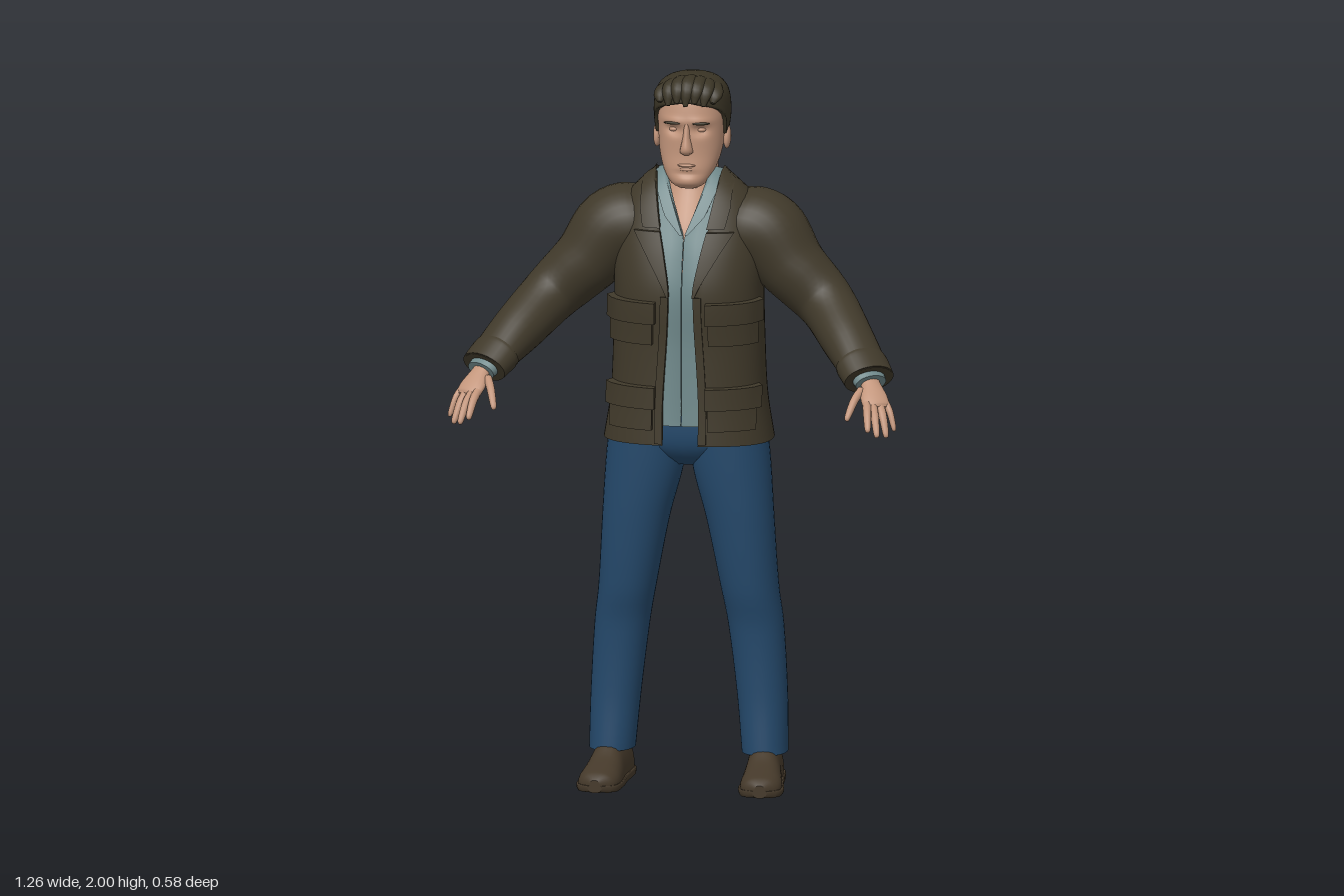
import * as THREE from 'three';

const material = (name, color, side = THREE.FrontSide) =>
  Object.assign(new THREE.MeshStandardMaterial({ color, side }), { name });
const span = (a, b, n) => Array.from({ length: n + 1 }, (_, i) => a + (b - a) * i / n);
const circle = n => span(0, 2 * Math.PI, n).slice(0, n);
const pw = (v, e) => Math.sign(v) * Math.abs(v) ** e;

// Smooth lookup in a table whose first column is the key
function at(rows, key) {
  const n = rows.length, k = Math.min(Math.max(key, rows[0][0]), rows[n - 1][0]);
  let i = 0;
  while (i < n - 2 && k > rows[i + 1][0]) i++;
  const h = rows[i + 1][0] - rows[i][0], t = (k - rows[i][0]) / h, s = t * t * (3 - 2 * t);
  const slope = (j, c) => {
    const a = rows[Math.max(j - 1, 0)], b = rows[Math.min(j + 1, n - 1)];
    return (b[c] - a[c]) / (b[0] - a[0]);
  };
  return rows[0].map((_, c) => rows[i][c] + (rows[i + 1][c] - rows[i][c]) * s
    + h * (t * (1 - t) ** 2 * slope(i, c) - t * t * (1 - t) * slope(i + 1, c)));
}

// Skin over a list of rings; closed rings also get end caps and outward faces
function loft(rings, closed = true) {
  const pos = [], idx = [], n = rings[0].length;
  const put = p => pos.push(p.x, p.y, p.z);
  rings.forEach(r => r.forEach(put));
  for (let j = 0; j < rings.length - 1; j++)
    for (let i = 0; i < (closed ? n : n - 1); i++) {
      const a = j * n + i, b = j * n + (i + 1) % n;
      idx.push(a, b, a + n, b, b + n, a + n);
    }
  if (closed) [rings[0], rings[rings.length - 1]].forEach((r, e) => {
    const s = pos.length / 3, c = new THREE.Vector3();
    r.forEach(p => { put(p); c.addScaledVector(p, 1 / n); });
    put(c);
    for (let i = 0; i < n; i++) {
      const a = s + i, b = s + (i + 1) % n;
      e ? idx.push(a, b, s + n) : idx.push(b, a, s + n);
    }
  });
  const v = i => new THREE.Vector3().fromArray(pos, 3 * i);
  let volume = 0;
  for (let i = 0; i < idx.length; i += 3) volume += v(idx[i]).dot(v(idx[i + 1]).cross(v(idx[i + 2])));
  if (volume < 0) idx.reverse();
  const g = new THREE.BufferGeometry();
  g.setAttribute('position', new THREE.Float32BufferAttribute(pos, 3));
  g.setIndex(idx);
  g.computeVertexNormals();
  return g;
}

// Point on a rounded level section; angle 0 is the front
function level(y, rx, f, b, th, p = 2.2, cx = 0, tilt = 0) {
  const dz = (f - b) / 2 * pw(Math.cos(th), 2 / p);
  return new THREE.Vector3(cx + rx * pw(Math.sin(th), 2 / p), y + tilt * dz, (f + b) / 2 + dz);
}

// Upright closed form from rows [y, rx, front z, back z, centre x]
function upright(rows, steps = 20, p = 2.2, n = 36) {
  return loft(span(rows[0][0], rows[rows.length - 1][0], steps).map(y => {
    const [, rx, f, b, cx] = at(rows, y);
    return circle(n).map(th => level(y, rx, f, b, th, p, cx));
  }));
}

// Limb swept through rows [x, y, z, half width, half thickness]
function limb(rows, steps = 16, n = 18) {
  const keyed = rows.map((r, i) => [i, ...r]);
  return loft(span(0, rows.length - 1, steps).map(k => {
    const [, x, y, z, a, b] = at(keyed, k), p = at(keyed, k - 0.05), q = at(keyed, k + 0.05);
    const t = new THREE.Vector3(q[1] - p[1], q[2] - p[2], q[3] - p[3]).normalize();
    const u = new THREE.Vector3(t.z, 0, -t.x).normalize(), w = t.clone().cross(u);
    return circle(n).map(th => new THREE.Vector3(x, y, z)
      .addScaledVector(u, a * Math.cos(th)).addScaledVector(w, b * Math.sin(th)));
  }));
}

// Torso rows [y, rx, front z, back z, tilt]; opening rows [y, half width]
const P = 2.5;
const TORSO = [[.975, .236, .068, -.282, .03], [1.1, .217, .06, -.275, 0], [1.25, .21, .055, -.27, 0],
  [1.4, .207, .058, -.275, 0], [1.5, .21, .035, -.275, 0], [1.6, .2, -.005, -.265, 0],
  [1.66, .172, -.035, -.25, .1], [1.7, .132, -.06, -.235, .25], [1.73, .098, -.085, -.225, .35]];
const OPENING = [[.97, .05], [1.1, .05], [1.4, .035], [1.5, .05], [1.6, .072], [1.7, .09], [1.73, .095]];
const open = y => at(OPENING, y)[1];
const vee = y => .001 + .4 * Math.max(0, y - 1.56);

// Garment shell open down the front, with folded-in front edges
function garment(y0, y1, inset, gap) {
  return loft(span(y0, y1, 40).map(y => {
    const [, rx, f, b, tilt] = at(TORSO, y), w = rx - inset;
    const a = Math.asin(Math.min(.99, (gap(y) / w) ** (P / 2)));
    const ring = span(a, 2 * Math.PI - a, 56).map(th => level(y, w, f - inset, b + inset, th, P, 0, tilt));
    const fold = new THREE.Vector3(0, 0, -.012);
    return [ring[0].clone().add(fold), ...ring, ring[56].clone().add(fold)];
  }), false);
}

// Plate laid on the torso front between two side edges
function patch(y0, y1, inner, outer, thick, inset = 0) {
  const g = new THREE.BoxGeometry(1, 1, 1, 8, 10, 1), p = g.attributes.position;
  for (let i = 0; i < p.count; i++) {
    const y = y0 + (y1 - y0) * (p.getY(i) + .5), [, rx, f, b] = at(TORSO, y);
    const x = Math.min(inner(y) + (outer(y) - inner(y)) * (p.getX(i) + .5), rx * .985);
    const z = (f + b) / 2 + (f - b) / 2 * (1 - (x / rx) ** P) ** (1 / P);
    const d = (p.getZ(i) + .5) * thick - .004;
    p.setXYZ(i, x + d * .6 * (x / rx) ** 3, y, z - inset + d);
  }
  g.computeVertexNormals();
  return g;
}

export function createModel() {
  const model = new THREE.Group(), left = new THREE.Group(), shoe = new THREE.Group();
  model.name = 'standingMan';
  left.name = 'leftSide';
  shoe.name = 'shoe';
  const jacket = material('olive jacket', 0x40392a, THREE.DoubleSide);
  const hairMat = material('dark brown hair', 0x3a3425);
  const jeans = material('blue denim', 0x24486a);
  const shirt = material('grey blue shirt', 0x70898b, THREE.DoubleSide);
  const skin = material('skin', 0xc2957b);
  const leather = material('brown leather', 0x45392a);
  const mesh = (name, geo, mat, parent = model) => {
    const m = Object.assign(new THREE.Mesh(geo, mat), { name });
    parent.add(m);
    return m;
  };
  const ball = (name, mat, parent, centre, size) => {
    const m = mesh(name, new THREE.SphereGeometry(1, 18, 12), mat, parent);
    m.position.set(...centre);
    m.scale.set(...size);
    return m;
  };

  // Clothes and neck
  mesh('jacketBody', garment(.975, 1.73, 0, open), jacket);
  mesh('shirtBody', garment(1.03, 1.725, .015, vee), shirt);
  mesh('neck', upright([[1.45, .11, 0, -.2], [1.55, .1, -.012, -.22], [1.6, .09, -.034, -.24], [1.66, .08, -.075, -.247],
    [1.7, .074, -.095, -.243], [1.76, .07, -.1, -.235], [1.82, .065, -.1, -.22]], 20, 2), skin);
  mesh('hips', upright([[.905, .06, -.045, -.15], [.93, .13, -.01, -.185], [.97, .212, .012, -.2],
    [1.04, .215, .016, -.205], [1.1, .195, .01, -.2]], 14), jeans);

  // Head with eye sockets pressed in
  const head = upright([[1.683, .025, -.07, -.11], [1.695, .047, -.05, -.14], [1.73, .07, -.047, -.18], [1.78, .086, -.052, -.225],
    [1.84, .092, -.052, -.26], [1.9, .093, -.056, -.27], [1.95, .08, -.075, -.25], [1.98, .04, -.12, -.2]], 44, 2.3, 64);
  const hp = head.attributes.position;
  for (let i = 0; i < hp.count; i++) if (hp.getZ(i) > -.13) {
    const x = Math.abs(hp.getX(i)), y = hp.getY(i);
    const bump = (cx, cy, sx, sy) => Math.exp(-(((x - cx) / sx) ** 2) - ((y - cy) / sy) ** 2);
    hp.setZ(i, hp.getZ(i) - .014 * bump(.038, 1.85, .02, .014) + .006 * bump(.035, 1.875, .035, .01)
      - .006 * bump(0, 1.728, .03, .007) + .004 * bump(0, 1.705, .025, .012));
  }
  head.computeVertexNormals();
  mesh('head', head, skin);
  mesh('nose', upright([[1.782, .011, -.042, -.08], [1.788, .018, -.033, -.08], [1.8, .017, -.029, -.08],
    [1.83, .011, -.038, -.08], [1.868, .008, -.05, -.08]], 14, 2, 18), skin);
  ball('upperLip', skin, model, [0, 1.752, -.053], [.026, .005, .009]);
  ball('lowerLip', skin, model, [0, 1.741, -.054], [.022, .006, .009]);

  // Hair cap with a hairline that drops towards the nape, and swept front locks
  const HAIR = [[1.75, .075, -.1, -.235], [1.79, .09, -.05, -.272], [1.86, .105, -.045, -.289], [1.92, .105, -.044, -.285],
    [1.96, .093, -.052, -.265], [1.985, .062, -.075, -.23], [1.997, .015, -.13, -.17]];
  const LINE = [[0, 1.93], [.25, 1.91], [.38, 1.88], [.46, 1.82], [.55, 1.84], [.66, 1.775], [1, 1.76]];
  mesh('hair', loft([-1, ...span(0, 1, 18)].map(v => circle(60).map(th => {
    const low = at(LINE, Math.min(th, 2 * Math.PI - th) / Math.PI)[1], d = v < 0 ? .02 : 0;
    const y = low + (1.997 - low) * Math.sin(Math.max(v, 0) * Math.PI / 2), [, rx, f, b] = at(HAIR, y);
    return level(y, rx - d, f - d, b + d, th);
  }))), hairMat);
  span(-.075, .075, 6).forEach((x, i) => mesh('frontLock', limb([
    [x * .6 + .02, 1.965, -.17, .012, .008], [x * .9 + .005, 1.985 - x * x * 4, -.105, .022, .014],
    [x, 1.968 - x * x * 4, -.06 - x * x * 3, .022, .014],
    [x - .002, 1.928 - (i % 2) * .008, -.044 - x * x * 3, .006, .005]], 14, 12), hairMat));

  // Ear, brow and eye of one side, all mirrored later
  ball('ear', skin, left, [.098, 1.815, -.16], [.011, .034, .021]).rotation.x = -.2;
  ball('eyebrow', hairMat, left, [.041, 1.87, -.056], [.025, .004, .004]).rotation.y = .25;
  ball('eye', skin, left, [.038, 1.85, -.077], [.014, .008, .012]);

  // Sleeve, shirt cuff and hand
  mesh('sleeve', limb([[.08, 1.575, -.15, .1, .09], [.15, 1.565, -.145, .12, .113], [.215, 1.545, -.135, .117, .117],
    [.29, 1.46, -.115, .095, .096], [.385, 1.368, -.09, .08, .082], [.465, 1.285, .02, .074, .07],
    [.525, 1.22, .105, .07, .05], [.54, 1.202, .128, .07, .046]], 42, 28), jacket, left);
  mesh('sleeveBand', limb([[.507, 1.238, .08, .074, .057], [.516, 1.229, .092, .076, .057],
    [.54, 1.202, .128, .074, .05]], 6, 28), jacket, left);
  mesh('shirtCuff', limb([[.53, 1.212, .115, .05, .035], [.547, 1.193, .14, .046, .03]], 3, 24), shirt, left);
  mesh('palm', limb([[.53, 1.213, .112, .028, .02], [.548, 1.188, .145, .028, .019], [.561, 1.163, .178, .038, .018],
    [.571, 1.145, .202, .038, .014], [.575, 1.139, .21, .03, .007]], 14), skin, left);
  [['indexFinger', [.546, 1.148, .21], [.56, 1.085, .285], .011], ['middleFinger', [.562, 1.145, .205], [.585, 1.07, .28], .011],
    ['ringFinger', [.58, 1.143, .195], [.607, 1.064, .25], .011], ['littleFinger', [.596, 1.147, .183], [.624, 1.076, .214], .009],
    ['thumb', [.524, 1.178, .165], [.494, 1.107, .246], .011]].forEach(([name, a, b, r]) =>
    mesh(name, limb([[0, 1.1], [.45, 1.05], [.85, .85], [.97, .6], [1, .15]].map(([t, s]) => [
      ...a.map((v, i) => v + (b[i] - v) * t + (i === 1 ? .012 * Math.sin(t * Math.PI) : 0)), r * s, r * s]), 14, 12), skin, left));

  // Collars, lapel, front seam and pockets
  mesh('lapel', patch(1.4, 1.575, y => open(y) - .002, y => open(y) + .004 + .068 * (y - 1.4) / .175, .016), jacket, left);
  mesh('jacketCollar', patch(1.585, 1.722, y => open(y) - .004, y => open(y) + .045 - .2 * Math.max(0, y - 1.64), .018), jacket, left);
  mesh('shirtCollar', patch(1.565, 1.722, vee, y => vee(y) + .008 + .026 * Math.min(1, (y - 1.565) / .05), .012, .013), shirt, left);
  mesh('frontSeam', patch(.985, 1.4, open, y => open(y) + .022, .009), jacket, left);
  [[1.265, 1.35, 1.385], [1.025, 1.11, 1.145]].forEach(([low, mid, top]) => {
    mesh('pocket', patch(low, mid, () => .078, () => .198, .024), jacket, left);
    mesh('pocketFlap', patch(mid - .025, top, () => .07, () => .205, .032), jacket, left);
  });

  // Trouser leg
  mesh('trouserLeg', upright([[.09, .064, -.018, -.18, .214], [.25, .07, -.03, -.188, .205], [.45, .077, -.026, -.192, .187],
    [.55, .08, -.008, -.192, .172], [.75, .094, .008, -.187, .146], [.9, .109, .014, -.196, .122],
    [1.02, .108, .015, -.202, .112]], 36), jeans, left);

  // Shoe: flat-bottomed upper on a slightly wider sole, rows [z, half width, height]
  const SHOE = [[-.088, .03, .07], [-.075, .046, .095], [-.02, .05, .12], [.05, .05, .11], [.11, .056, .075],
    [.165, .058, .056], [.2, .045, .045], [.216, .015, .03]];
  const shoeForm = (base, grow, cap) => loft(span(-.088, .216, 26).map(z => {
    const [, w, h] = at(SHOE, z);
    return circle(28).map(th => new THREE.Vector3((w + grow) * pw(Math.cos(th), .8),
      base + Math.max(0, Math.min(cap, .015 + (h - .015) * Math.sin(th))), z));
  }));
  mesh('shoeUpper', shoeForm(.006, 0, 1), leather, shoe);
  mesh('shoeSole', shoeForm(0, .005, .02), leather, shoe);
  shoe.position.set(.214, 0, -.095);
  shoe.rotation.y = .08;
  left.add(shoe);

  const right = left.clone();
  right.name = 'rightSide';
  right.scale.x = -1;
  model.add(left, right);
  return model;
}
